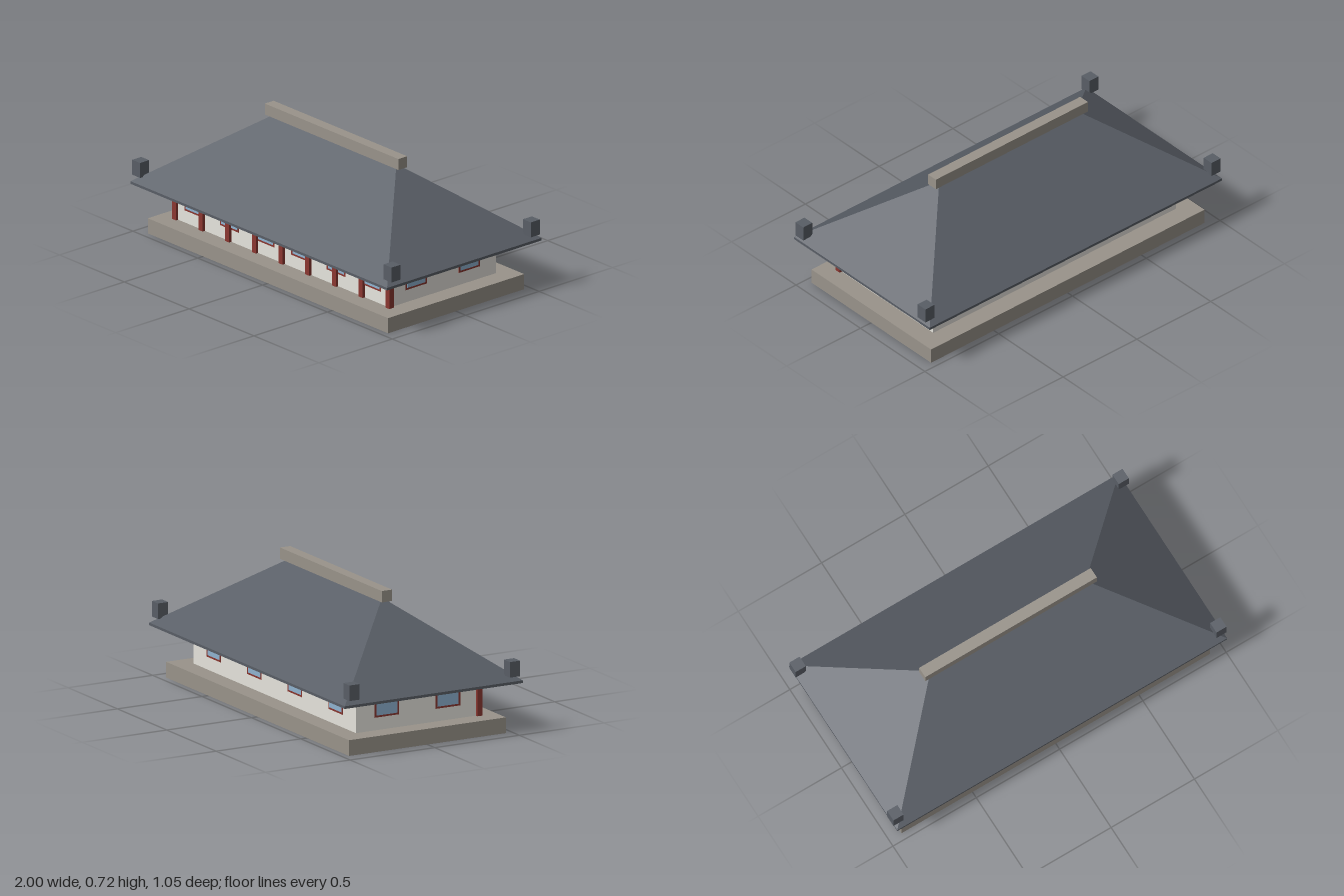
import * as THREE from 'three';

const mat = (name, color, side = THREE.FrontSide) => {
  const m = new THREE.MeshStandardMaterial({ color, side });
  m.name = name;
  return m;
};

export function createModel() {
  const stone = mat('stone', 0x99938a, THREE.DoubleSide);
  const plaster = mat('plaster', 0xe6e4dd);
  const tile = mat('roofTile', 0x595e66);
  const soffit = mat('soffitWood', 0x644c39);
  const redWood = mat('redWood', 0x8a3730);
  const glass = mat('glass', 0x8fb3d0);

  const model = new THREE.Group();
  model.name = 'hall';
  const box = (name, material, size, pos, parent = model) => {
    const mesh = new THREE.Mesh(new THREE.BoxGeometry(...size), material);
    mesh.name = name;
    mesh.position.set(...pos);
    parent.add(mesh);
    return mesh;
  };

  const HX = 0.823, HZ = 0.362;      // half size of the walls
  const FLOOR = 0.083, EAVE = 0.27;  // top of the plinth, underside of the roof

  // Hollow plinth, open at the bottom
  const plinth = box('plinth', stone, [1.853, FLOOR, 0.927], [0, FLOOR / 2, 0]).geometry;
  const index = Array.from(plinth.index.array);
  index.splice(18, 6);
  plinth.setIndex(index);
  plinth.clearGroups();

  // Walls, just clear of the plinth's top sheet
  const wallBase = FLOOR + 0.001;
  const wallH = EAVE - wallBase, wallY = (EAVE + wallBase) / 2;
  box('walls', plaster, [HX * 2, wallH, HZ * 2], [0, wallY, 0]);

  // Row of columns along the front
  for (let i = 0; i <= 8; i++) {
    box('column', redWood, [0.031, wallH, 0.031], [-HX + (i * HX) / 4, wallY, HZ]);
  }

  // Windows, evenly spaced on each side; the heads vanish behind the eave
  const windowRow = (side, count, length, distance, turn) => {
    const row = new THREE.Group();
    row.name = side + 'Windows';
    row.rotation.y = turn;
    for (let i = 0; i < count; i++) {
      const x = ((i + 0.5) / count - 0.5) * length;
      box('windowFrame', redWood, [0.145, 0.119, 0.004], [x, 0.2105, distance - 0.0008], row);
      box('windowPane', glass, [0.124, 0.109, 0.004], [x, 0.2155, distance + 0.0002], row);
    }
    model.add(row);
  };
  windowRow('front', 6, HX * 2, HZ, 0);
  windowRow('back', 4, HX * 2, HZ, Math.PI);
  windowRow('left', 2, HZ * 2, HX, Math.PI / 2);
  windowRow('right', 2, HZ * 2, HX, -Math.PI / 2);

  // Eave slab with a wooden underside
  const RX = 0.99, RZ = 0.526, EDGE = 0.284, TOP = 0.664;
  box('eave', [tile, tile, tile, soffit, tile, tile], [RX * 2, EDGE - EAVE, RZ * 2],
    [0, (EDGE + EAVE) / 2, 0]);

  // Hipped roof: a block whose top is drawn in to a narrow ridge
  const hip = box('hippedRoof', tile, [RX * 2, TOP - EDGE, RZ * 2], [0, (TOP + EDGE) / 2, 0]).geometry;
  const p = hip.attributes.position;
  for (let i = 0; i < p.count; i++) {
    if (p.getY(i) > 0) {
      p.setX(i, Math.sign(p.getX(i)) * 0.476);
      p.setZ(i, Math.sign(p.getZ(i)) * 0.01);
    }
  }
  hip.computeVertexNormals();

  // Ridge beam and corner ornaments
  box('ridgeBeam', stone, [1.03, 0.06, 0.06], [0, 0.691, 0]);
  for (const sx of [-1, 1]) {
    for (const sz of [-1, 1]) {
      box('cornerOrnament', tile, [0.061, 0.082, 0.061], [sx * 0.9695, 0.352, sz * 0.474]);
    }
  }
  return model;
}
